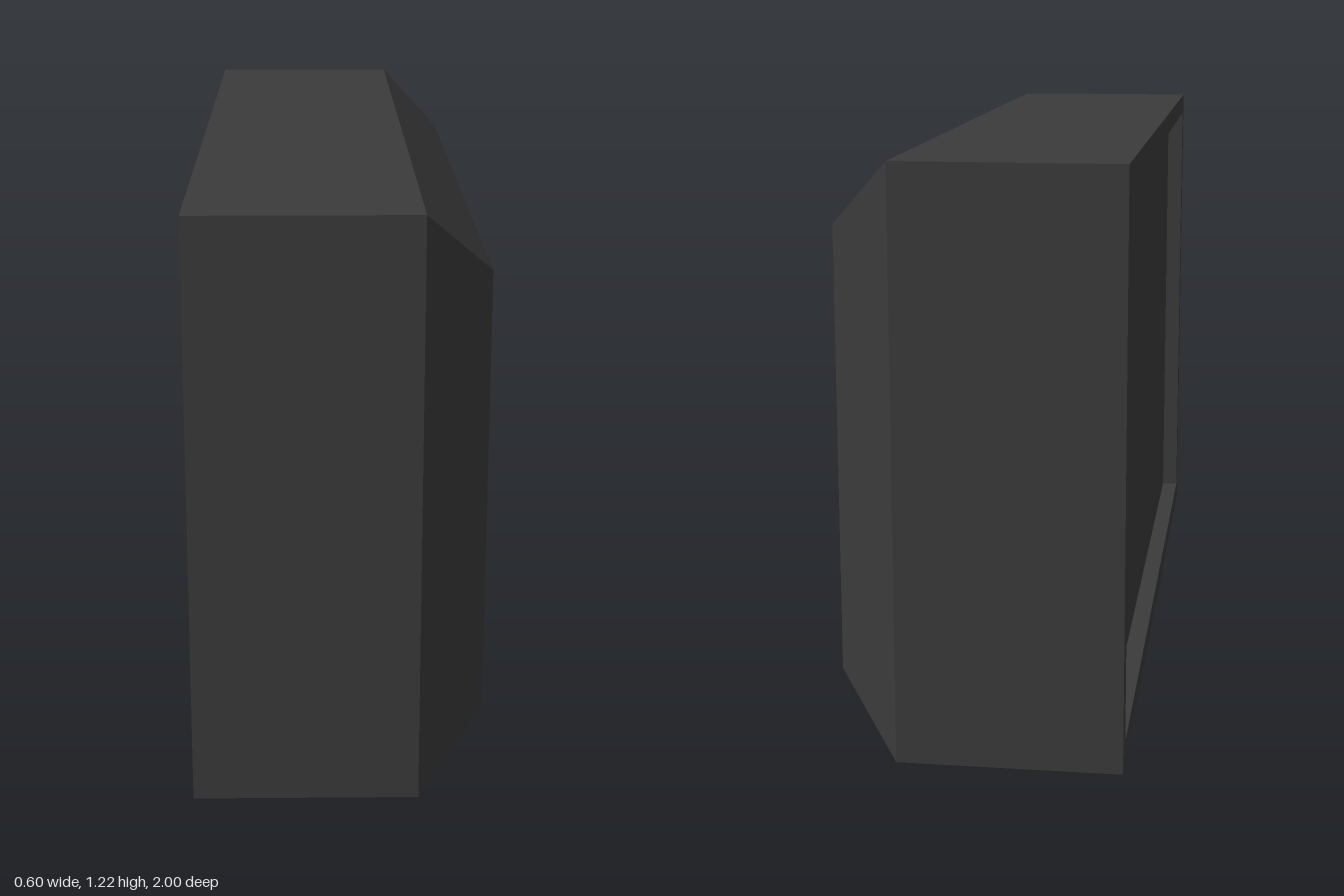
import * as THREE from 'three';

const HEIGHT = 1.215, HALF_LENGTH = 1;

// Rectangular cross-section at x, inset from the outer outline; counter-clockwise seen from +x
function ring(x, inset) {
  const z = HALF_LENGTH - inset, y0 = inset, y1 = HEIGHT - inset;
  return [[x, y0, z], [x, y0, -z], [x, y1, -z], [x, y1, z]];
}

function quads(list) {
  const pos = [];
  for (const [a, b, c, d] of list) pos.push(...a, ...b, ...c, ...a, ...c, ...d);
  const g = new THREE.BufferGeometry();
  g.setAttribute('position', new THREE.Float32BufferAttribute(pos, 3));
  g.computeVertexNormals();
  return g;
}

// Walls joining consecutive cross-sections
function loft(rings) {
  const list = [];
  for (let r = 0; r < rings.length - 1; r++) {
    for (let i = 0; i < 4; i++) {
      const j = (i + 1) % 4;
      list.push([rings[r][i], rings[r][j], rings[r + 1][j], rings[r + 1][i]]);
    }
  }
  return list;
}

export function createModel() {
  const group = new THREE.Group();
  const material = new THREE.MeshStandardMaterial({ color: 0x3a3b3a, flatShading: true });
  const add = (name, list) => {
    const mesh = new THREE.Mesh(quads(list), material);
    mesh.name = name;
    group.add(mesh);
  };

  const recess = ring(-0.26, 0.05), rimInner = ring(-0.3, 0.05), rimOuter = ring(-0.3, 0);
  const shoulder = ring(0.16, 0), face = ring(0.3, 0.14);

  // Recessed panel on the -x side, framed by a narrow rim
  add('recessedPanel', [[...recess].reverse()]);
  add('rim', loft([recess, rimInner, rimOuter]));
  // Straight casing
  add('casing', loft([rimOuter, shoulder]));
  // Chamfered cover on the +x side
  add('chamferedCover', [...loft([shoulder, face]), face]);

  return group;
}
